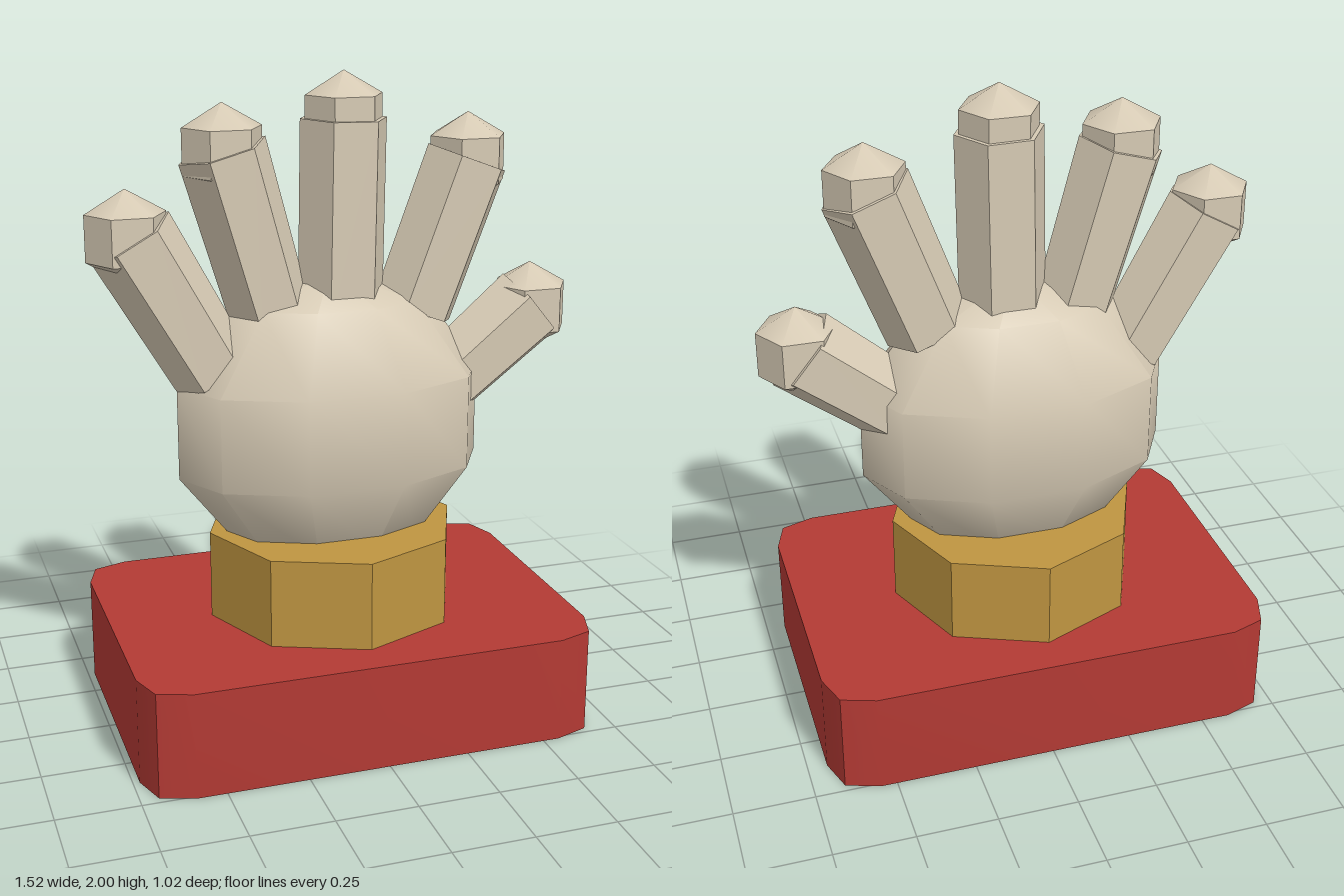
import * as THREE from 'three';
import { toCreasedNormals } from 'three/addons/utils/BufferGeometryUtils.js';

const CREASE = 0.72;

function material(name, color) {
  const m = new THREE.MeshStandardMaterial({ color });
  m.name = name;
  return m;
}

export function createModel() {
  const model = new THREE.Group();
  model.name = 'handOnStand';
  const stone = material('pale stone', 0xd6cab4);
  const gold = material('gold', 0xbf9541);
  const red = material('red', 0xb33a34);

  function add(name, geometry, mat, x = 0, y = 0, z = 0) {
    const mesh = new THREE.Mesh(toCreasedNormals(geometry, CREASE), mat);
    mesh.name = name;
    mesh.position.set(x, y, z);
    model.add(mesh);
    return mesh;
  }

  // Plinth: rectangle with two-step rounded corners
  const w = 0.71, d = 0.512, r = 0.14;
  const outline = new THREE.Shape();
  outline.moveTo(-w + r, -d);
  outline.lineTo(w - r, -d);
  outline.quadraticCurveTo(w, -d, w, -d + r);
  outline.lineTo(w, d - r);
  outline.quadraticCurveTo(w, d, w - r, d);
  outline.lineTo(-w + r, d);
  outline.quadraticCurveTo(-w, d, -w, d - r);
  outline.lineTo(-w, -d + r);
  outline.quadraticCurveTo(-w, -d, -w + r, -d);
  const plinth = new THREE.ExtrudeGeometry(outline, { depth: 0.33, bevelEnabled: false, curveSegments: 2 });
  plinth.rotateX(-Math.PI / 2);
  add('plinth', plinth, red, -0.02);

  // Octagonal cuff
  add('cuff', new THREE.CylinderGeometry(0.393, 0.393, 0.275, 8), gold, -0.02, 0.4675);

  // Palm: flattened faceted ball
  const palm = new THREE.SphereGeometry(1, 10, 5);
  palm.scale(0.507, 0.47, 0.2985);
  add('palm', palm, stone, -0.022, 0.935);

  // Fingers: [name, base x, base y, end x, end y, tip x, tip y, base radius]
  const fingers = [
    ['littleFinger', -0.39, 1.12, -0.63, 1.546, -0.64, 1.546, 0.125],
    ['ringFinger', -0.205, 1.265, -0.35, 1.781, -0.35, 1.781, 0.125],
    ['middleFinger', 0.01, 1.27, 0.02, 1.861, 0.02, 1.861, 0.135],
    ['indexFinger', 0.243, 1.27, 0.415, 1.726, 0.415, 1.726, 0.132],
    ['thumb', 0.32, 1.0, 0.63, 1.251, 0.635, 1.251, 0.122],
  ];
  for (const [name, bx, by, ex, ey, tx, ty, radius] of fingers) {
    const length = Math.hypot(ex - bx, ey - by);
    const shaft = new THREE.CylinderGeometry(0.135, radius, length, 6);
    shaft.rotateY(Math.PI / 2); // corners point sideways
    const mesh = add(name, shaft, stone, (bx + ex) / 2, (by + ey) / 2);
    mesh.rotation.z = -Math.atan2(ex - bx, ey - by);
    // Upright six-sided fingertip
    add(name + 'Tip', new THREE.SphereGeometry(0.139, 6, 3), stone, tx, ty);
  }
  return model;
}
